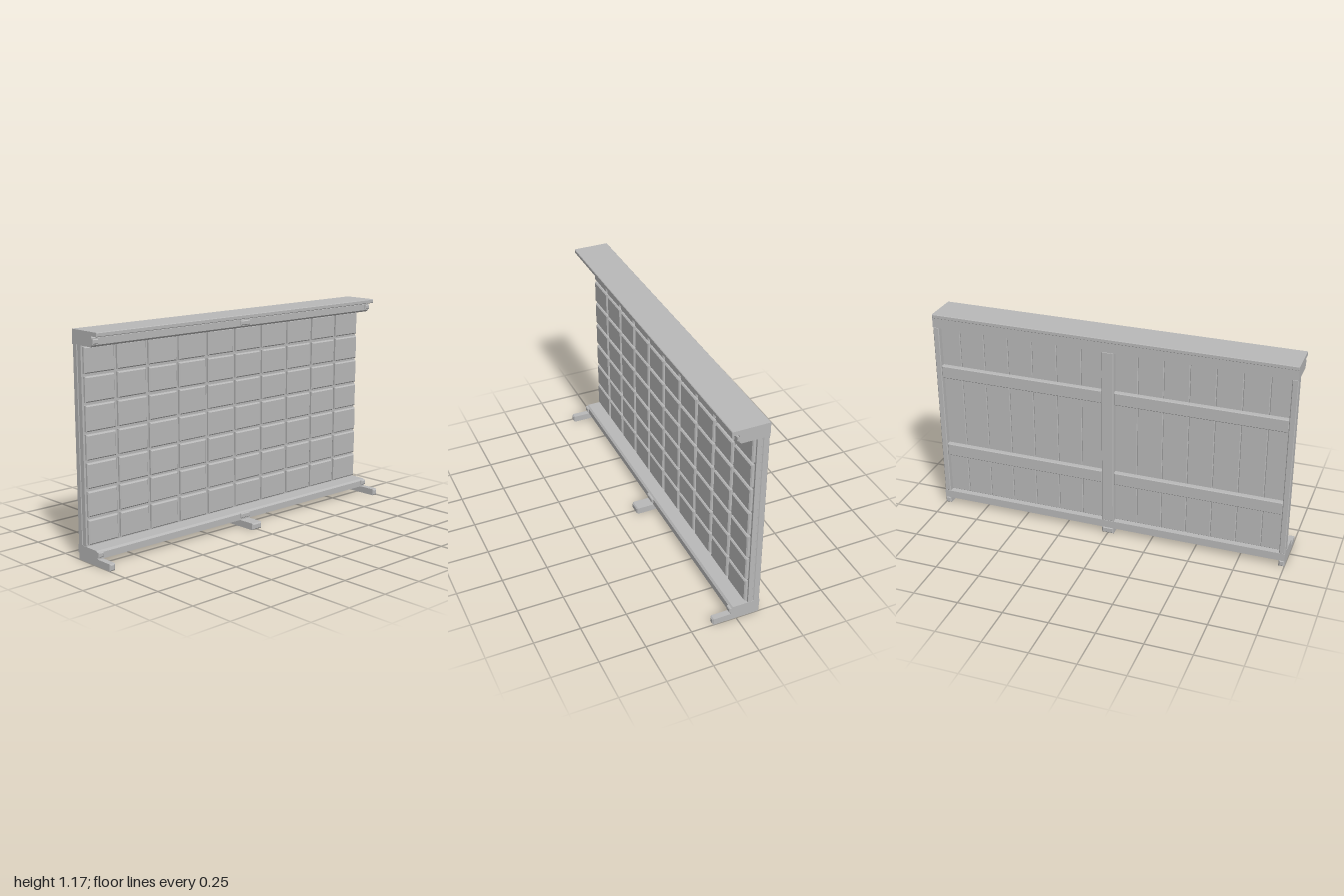
import * as THREE from 'three';

const grey = new THREE.MeshStandardMaterial({ color: 0xb8b8b8 });
grey.name = 'weathered grey';

// Box with chamfered edges, given by its min and max corners
function block(parent, name, [x0, y0, z0], [x1, y1, z1], b = 0.004) {
  const w = x1 - x0, h = y1 - y0, d = z1 - z0;
  const s = new THREE.Shape();
  s.moveTo(-w / 2, -h / 2);
  s.lineTo(w / 2, -h / 2);
  s.lineTo(w / 2, h / 2);
  s.lineTo(-w / 2, h / 2);
  s.closePath();
  const g = new THREE.ExtrudeGeometry(s, {
    depth: d - 2 * b, bevelEnabled: true, bevelThickness: b, bevelSize: b, bevelOffset: -b, bevelSegments: 1,
  });
  g.translate(0, 0, b - d / 2);
  const mesh = new THREE.Mesh(g, grey);
  mesh.name = name;
  mesh.position.set((x0 + x1) / 2, (y0 + y1) / 2, (z0 + z1) / 2);
  parent.add(mesh);
  return mesh;
}

// Long beam along x from a (z, y) profile
function beam(parent, name, profile) {
  const s = new THREE.Shape(profile.map(([z, y]) => new THREE.Vector2(-z, y)));
  const g = new THREE.ExtrudeGeometry(s, { depth: 2, bevelEnabled: false });
  g.translate(0, 0, -1);
  g.rotateY(Math.PI / 2);
  const mesh = new THREE.Mesh(g, grey);
  mesh.name = name;
  parent.add(mesh);
}

function group(parent, name) {
  const g = new THREE.Group();
  g.name = name;
  parent.add(g);
  return g;
}

export function createModel() {
  const model = new THREE.Group();
  model.name = 'tiledWallPanel';
  let seed = 7;
  const rand = () => (seed = (seed * 16807) % 2147483647) / 2147483647;

  // Cap shelf and the two long beams
  block(model, 'capShelf', [-1, 1.153, -0.133], [1, 1.175, 0.068], 0.003);
  beam(model, 'topBeam', [[-0.131, 1.1], [0.02, 1.1], [0.03, 1.11], [0.03, 1.145], [0.022, 1.154], [-0.131, 1.154]]);
  beam(model, 'bottomBeam', [[-0.131, 0.036], [0.03, 0.036], [0.03, 0.07], [0.02, 0.08], [-0.131, 0.08]]);

  // Feet, front pegs and rear posts at the centre and both ends
  const spans = [[-1, -0.967], [-0.034, 0.034], [0.967, 1]];
  const feet = group(model, 'feet');
  const pegs = group(model, 'beamPegs');
  const posts = group(model, 'rearPosts');
  for (const [a, b] of spans) {
    block(feet, 'foot', [a, 0, -0.133], [b, 0.037, 0.133], 0.007);
    block(pegs, 'lowerPeg', [a, 0.047, 0.01], [b, 0.073, 0.04]);
    block(pegs, 'upperPeg', [a, 1.115, 0.01], [b, 1.14, 0.04]);
    block(posts, 'post', [a, 0.079, -0.13], [b, 1.101, -0.095]);
  }

  // Core panel with vertical planks and cross rails on the rear
  const core = block(model, 'corePanel', [-0.998, 0.078, -0.09], [0.998, 1.102, -0.066], 0.001);
  core.name = 'corePanel';
  const planks = group(model, 'rearPlanks');
  const rails = group(model, 'crossRails');
  for (const side of [-1, 1]) {
    const pitch = 0.98 / 7;
    for (let i = 0; i < 7; i++) {
      const c = side * (0.018 + (i + 0.5) * pitch);
      block(planks, 'plank', [c - pitch / 2 + 0.001, 0.079, -0.098], [c + pitch / 2 - 0.001, 1.101, -0.08], 0.003);
    }
    const [x0, x1] = side > 0 ? [0.034, 0.967] : [-0.967, -0.034];
    for (const y of [0.315, 0.8]) block(rails, 'rail', [x0, y, -0.125], [x1, y + 0.072, -0.094]);
  }

  // Front tiles, ten columns by seven rows, very slightly uneven
  const tiles = group(model, 'frontTiles');
  for (let r = 0; r < 7; r++) {
    for (let c = 0; c < 10; c++) {
      const x = -0.9 + c * 0.2, y = 0.155 + r * 0.1452;
      const w = 0.0915 - rand() * 0.002, h = 0.0665 - rand() * 0.002;
      const tile = block(tiles, 'tile', [x - w, y - h, -0.069], [x + w, y + h, -0.046], 0.006);
      tile.rotation.y = (rand() - 0.5) * 0.015;
      tile.rotation.x = (rand() - 0.5) * 0.015;
    }
  }

  return model;
}
